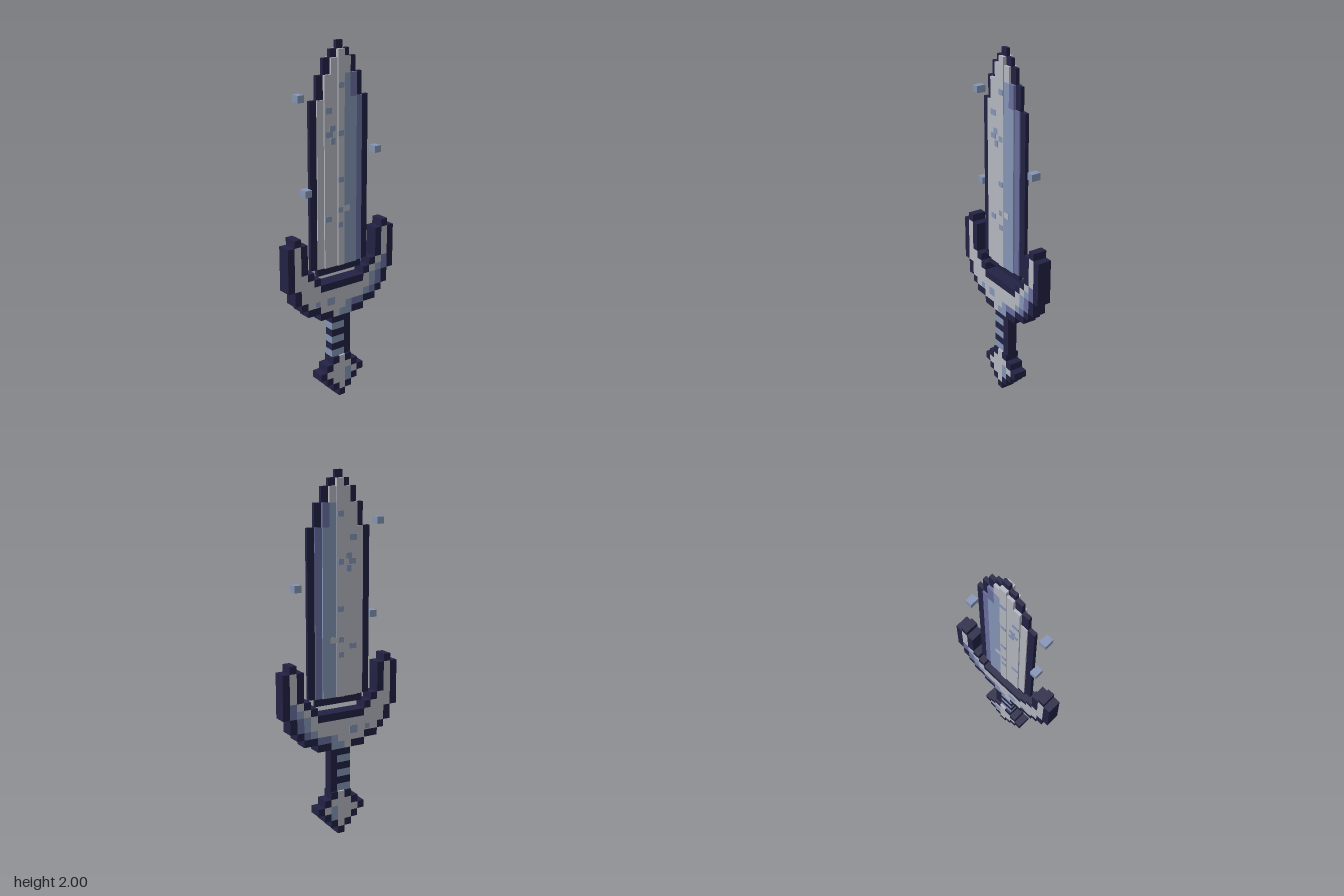
import * as THREE from 'three';
import { mergeGeometries } from 'three/addons/utils/BufferGeometryUtils.js';

const U = 2 / 48; // one block of the pixel grid

const paint = (name, hex) => {
  const m = new THREE.MeshStandardMaterial({ color: hex });
  m.name = name;
  return m;
};
const materials = {
  D: paint('darkOutline', 0x222244),
  G: paint('paleSteel', 0xb4b7c0),
  B: paint('blueSteel', 0x8595b6),
  P: paint('violetShade', 0x6a6f9f),
};
const words = { D: 'Outline', G: 'Light', B: 'Blue', P: 'Shade' };

// Box spanning half-thickness hx, z0..z1 and y0..y1
function slab(hx, z0, z1, y0, y1) {
  const g = new THREE.BoxGeometry(2 * hx, Math.abs(y1 - y0), Math.abs(z1 - z0));
  return g.translate(0, (y0 + y1) / 2, (z0 + z1) / 2);
}

// Builds a part from [row count, pattern] pairs, starting at a grid row from the top.
// Patterns run from +z to -z; thickness(char, column) gives half the depth along x.
function pixelPart(name, startRow, rows, thickness) {
  const byColour = {};
  let row = startRow;
  for (const [count, pattern] of rows) {
    const mid = (pattern.length - 1) / 2;
    const y1 = 2 - row * U, y0 = y1 - count * U;
    for (let i = 0; i < pattern.length;) {
      const c = pattern[i], hx = thickness(c, mid - i);
      let j = i + 1;
      while (j < pattern.length && pattern[j] === c && thickness(c, mid - j) === hx) j++;
      if (c !== '.') {
        (byColour[c] ??= []).push(slab(hx, (mid - i + 0.5) * U, (mid - j + 0.5) * U, y0, y1));
      }
      i = j;
    }
    row += count;
  }
  const group = new THREE.Group();
  group.name = name;
  for (const c in byColour) {
    const mesh = new THREE.Mesh(mergeGeometries(byColour[c]), materials[c]);
    mesh.name = name + words[c];
    group.add(mesh);
  }
  return group;
}

// Blade thins in steps from the central ridge to the edge
const bladeDepth = (c, col) => (c === 'D' ? 0.0105 : [0.03, 0.025, 0.025, 0.0165][Math.abs(col)] ?? 0.0105);

const bladeRows = [
  [1, '....D....'],
  [1, '...DGD...'],
  [2, '..DGGGD..'],
  [3, '.DGGGBPD.'],
  [22, 'DGGGGBBPD'],
  [1, '.DDDDDDD.'],
];
const guardRows = [
  [1, '.D.............D.'],
  [4, 'DGD...........DGD'],
  [1, 'DGGD.........DGPD'],
  [1, 'DGGGD.......DGBPD'],
  [1, '.DGGGDDDDDDDGBPD.'],
  [1, '.DGGGGGGGGGGGBPD.'],
  [1, '..DGGGGGGGGGBPD..'],
  [1, '...DDGGGGBPPDD...'],
  [1, '.....DDGBBDD.....'],
];
const gripRows = ['DDD', 'BBD', 'DDD', 'BBD', 'DDD', 'BBD'].map((p) => [1, p]);
const pommelRows = ['..DGD..', '.DGGGD.', 'DGGGBGD', '.DGGBD.', '..DGD..', '...D...'].map((p) => [1, p]);

// Worn patches on both faces: [colour, z, y, width, height, half-depth under the patch]
const patches = [
  ['B', 0.08, 1.65, 0.042, 0.032, 0.025],
  ['B', 0.0, 1.775, 0.035, 0.03, 0.03],
  ['B', 0.075, 1.525, 0.042, 0.03, 0.025],
  ['B', 0.055, 1.555, 0.035, 0.03, 0.025],
  ['B', 0.052, 1.488, 0.03, 0.035, 0.025],
  ['B', 0.003, 1.525, 0.035, 0.03, 0.03],
  ['B', 0.002, 1.275, 0.035, 0.03, 0.03],
  ['B', 0.08, 1.067, 0.042, 0.03, 0.025],
  ['B', 0.005, 1.108, 0.03, 0.03, 0.03],
  ['B', 0.005, 1.025, 0.03, 0.03, 0.03],
  ['G', -0.04, 1.108, 0.04, 0.032, 0.025],
  ['B', 0.165, 0.605, 0.03, 0.03, 0.04],
  ['B', 0.078, 0.6, 0.05, 0.045, 0.04],
];

export function createModel() {
  const sword = new THREE.Group();
  sword.name = 'sword';
  sword.add(
    pixelPart('blade', 0, bladeRows, bladeDepth),
    pixelPart('guard', 24, guardRows, () => 0.04),
    pixelPart('grip', 36, gripRows, () => 0.029),
    pixelPart('pommel', 42, pommelRows, () => 0.04),
  );

  // Thin patches on either side
  for (const [c, z, y, w, h, depth] of patches) {
    for (const side of [-1, 1]) {
      const patch = new THREE.Mesh(new THREE.BoxGeometry(0.003, h, w), materials[c]);
      patch.position.set(side * (depth + 0.0005), y, z);
      patch.name = 'wornPatch';
      sword.add(patch);
    }
  }

  // Sparks floating beside the blade
  for (const [z, y] of [[0.25, 1.73], [-0.25, 1.4], [0.208, 1.23]]) {
    const spark = new THREE.Mesh(new THREE.BoxGeometry(0.051, 0.038, 0.04), materials.B);
    spark.position.set(0, y, z);
    spark.name = 'floatingSpark';
    sword.add(spark);
  }
  return sword;
}
